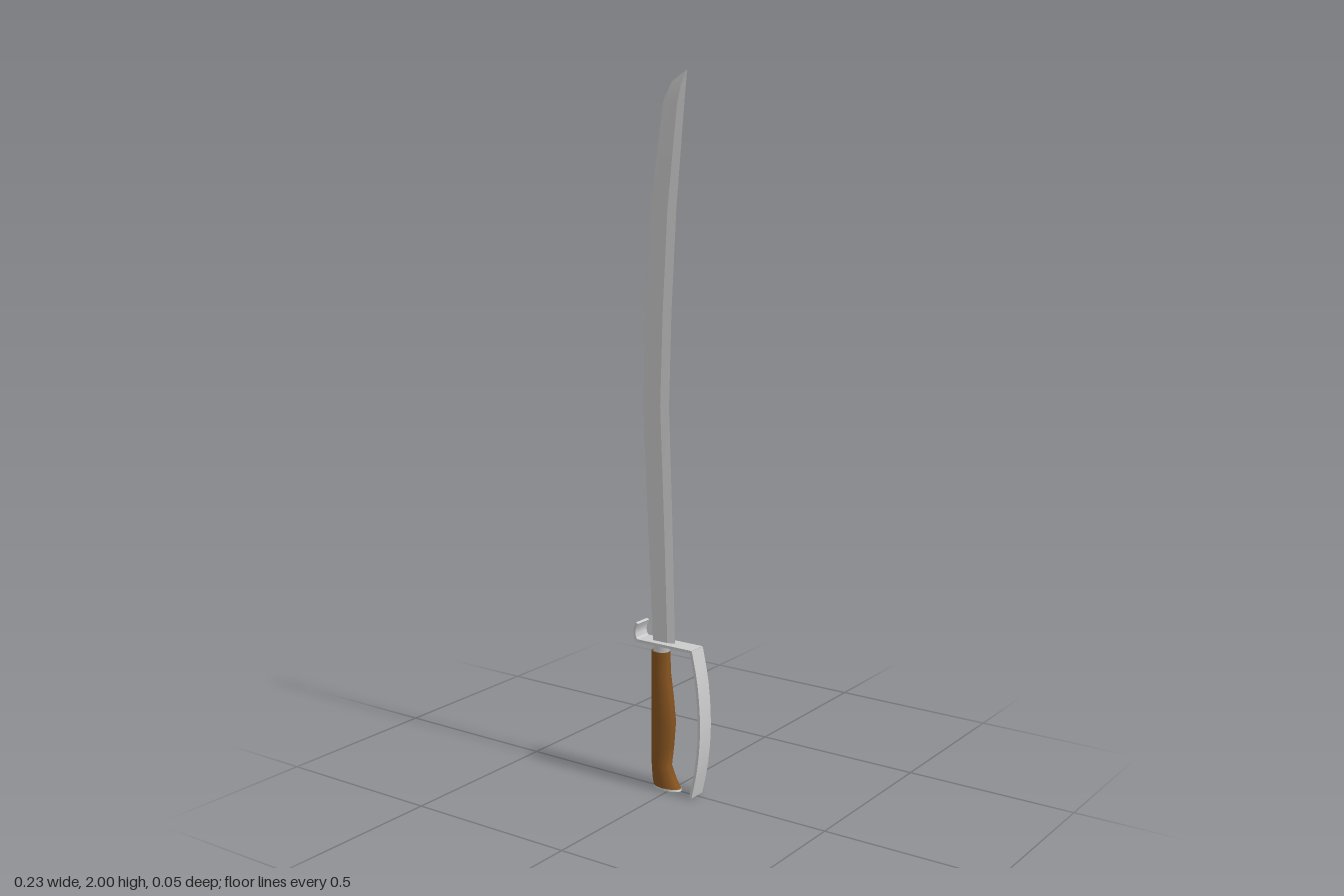
import * as THREE from 'three';
import { toCreasedNormals } from 'three/addons/utils/BufferGeometryUtils.js';

// Skin a stack of equal-length rings (counter-clockwise seen from above) and cap the ends.
function loft(rings, crease) {
  const n = rings[0].length, index = [];
  for (let i = 0; i < rings.length - 1; i++) {
    for (let j = 0; j < n; j++) {
      const k = (j + 1) % n, a = i * n + j, b = i * n + k;
      index.push(a, b, b + n, a, b + n, a + n);
    }
  }
  const top = (rings.length - 1) * n;
  for (let j = 1; j < n - 1; j++) index.push(0, j + 1, j, top, top + j, top + j + 1);
  const geo = new THREE.BufferGeometry();
  geo.setAttribute('position', new THREE.Float32BufferAttribute(rings.flat(2), 3));
  geo.setIndex(index);
  return toCreasedNormals(geo, crease);
}

// Oval ring spanning x0..x1, half depth rz
function oval(y, x0, x1, rz, sides = 16) {
  return Array.from({ length: sides }, (_, j) => {
    const a = (j / sides) * Math.PI * 2;
    return [(x0 + x1) / 2 + Math.cos(a) * (x1 - x0) / 2, y, -Math.sin(a) * rz];
  });
}

// Flat metal strip following a path in the xy plane
function strip(path, thickness, width) {
  const left = [], right = [];
  path.forEach((p, i) => {
    const q = path[Math.max(i - 1, 0)], r = path[Math.min(i + 1, path.length - 1)];
    const d = new THREE.Vector2().subVectors(r, q).normalize().multiplyScalar(thickness / 2);
    left.push(new THREE.Vector2(p.x - d.y, p.y + d.x));
    right.push(new THREE.Vector2(p.x + d.y, p.y - d.x));
  });
  const geo = new THREE.ExtrudeGeometry(new THREE.Shape([...left, ...right.reverse()]),
    { depth: width, bevelEnabled: false });
  return toCreasedNormals(geo.translate(0, 0, -width / 2), 0.5);
}

export function createModel() {
  const group = new THREE.Group();
  const steel = new THREE.MeshStandardMaterial({ color: 0xcccccc });
  const wood = new THREE.MeshStandardMaterial({ color: 0x84521f });
  const add = (name, geo, mat = steel) => {
    const mesh = new THREE.Mesh(geo, mat);
    mesh.name = name;
    group.add(mesh);
  };

  // Blade: [spine x, spine y, edge x, edge y, half thickness], bevelled on the edge side
  const blade = [
    [-0.06, 0.42, 0.01, 0.42, 0.007],
    [-0.076, 0.76, 0.002, 0.76, 0.007],
    [-0.092, 1.10, -0.01, 1.10, 0.007],
    [-0.082, 1.36, -0.002, 1.36, 0.007],
    [-0.066, 1.64, 0.014, 1.64, 0.007],
    [-0.024, 1.92, 0.039, 1.91, 0.006],
    [0.002, 1.97, 0.044, 1.96, 0.004],
    [0.047, 2.0, 0.048, 2.0, 0.0005],
  ].map(([sx, sy, ex, ey, t]) => {
    const rx = THREE.MathUtils.lerp(sx, ex, 0.7), ry = THREE.MathUtils.lerp(sy, ey, 0.7);
    return [[ex, ey, 0], [rx, ry, -t], [sx, sy, -t], [sx, sy, t], [rx, ry, t]];
  });
  add('blade', loft(blade, 0.1));

  // Grip with a swelling palm and flared butt
  const grip = [
    [0.006, -0.061, 0.029, 0.024], [0.03, -0.065, 0.014, 0.024], [0.068, -0.067, -0.004, 0.024],
    [0.13, -0.067, 0.004, 0.025], [0.2, -0.067, 0.01, 0.026], [0.27, -0.067, 0.003, 0.025],
    [0.34, -0.067, -0.007, 0.024], [0.405, -0.066, -0.01, 0.023],
  ].map((r) => oval(...r));
  add('grip', loft(grip, 0.9), wood);
  add('buttCap', loft([oval(0, -0.06, 0.031, 0.024), oval(0.006, -0.061, 0.029, 0.024)], 0.9));
  add('ferrule', loft([oval(0.403, -0.06, -0.012, 0.021), oval(0.428, -0.058, -0.006, 0.021)], 0.9));

  // Guard: flat cross strip, curled quillon and knuckle bow
  const v = (x, y) => new THREE.Vector2(x, y);
  const width = 0.054, thick = 0.008;
  add('crossGuard', strip([v(-0.106, 0.429), v(0.084, 0.429)], thick, width));
  const curl = new THREE.SplineCurve([v(-0.102, 0.429), v(-0.109, 0.437), v(-0.111, 0.458), v(-0.102, 0.48)]);
  add('quillonCurl', strip(curl.getPoints(8), thick, width));
  const bow = new THREE.SplineCurve([v(0.082, 0.43), v(0.102, 0.33), v(0.11, 0.21), v(0.102, 0.1), v(0.082, 0.002)]);
  add('knuckleBow', strip(bow.getPoints(12), thick, width));

  return group;
}
